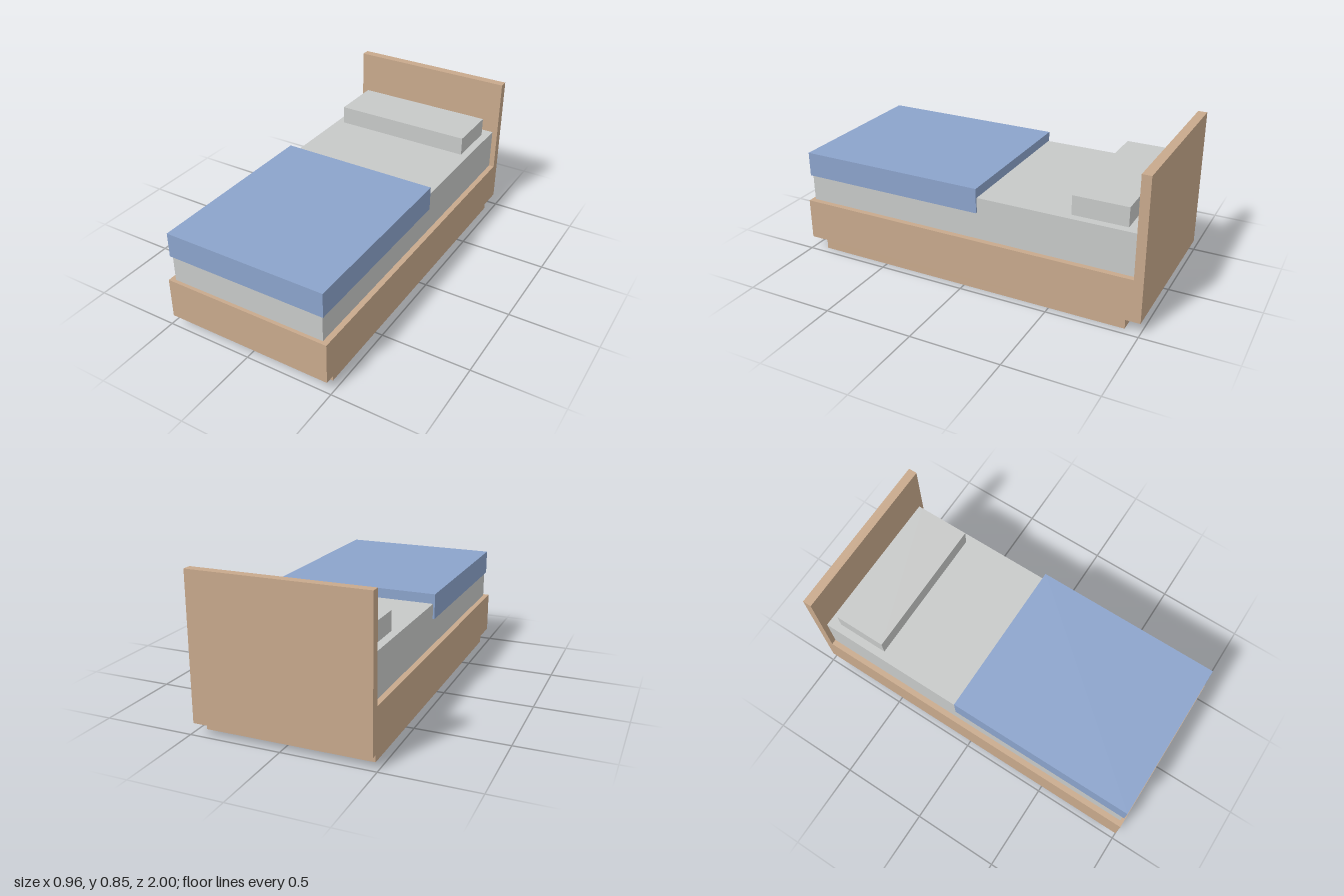
import * as THREE from 'three';

const makeMaterial = (name, color) => {
  const material = new THREE.MeshStandardMaterial({ color });
  material.name = name;
  return material;
};

export function createModel() {
  const bed = new THREE.Group();
  bed.name = 'bed';

  const wood = makeMaterial('wood', 0xc8a98c);
  const linen = makeMaterial('linen', 0xc7c9c8);
  const blue = makeMaterial('blue fabric', 0x8ba3cb);

  // Box centred on x, given its width and its y and z ranges
  const addBox = (name, material, width, [y0, y1], [z0, z1]) => {
    const mesh = new THREE.Mesh(new THREE.BoxGeometry(width, y1 - y0, z1 - z0), material);
    mesh.name = name;
    mesh.position.set(0, (y0 + y1) / 2, (z0 + z1) / 2);
    bed.add(mesh);
  };

  // Wooden base and headboard
  addBox('plinth', wood, 0.916, [0, 0.066], [-0.915, 0.915]);
  addBox('frame', wood, 0.958, [0.066, 0.299], [-0.95, 1]);
  addBox('headboard', wood, 0.958, [0.066, 0.854], [-1, -0.95]);

  // Bedding
  addBox('mattress', linen, 0.896, [0.299, 0.534], [-0.95, 0.98]);
  addBox('pillow', linen, 0.808, [0.534, 0.64], [-0.885, -0.587]);
  addBox('blanket', blue, 0.916, [0.45, 0.588], [-0.08, 0.99]);

  return bed;
}
